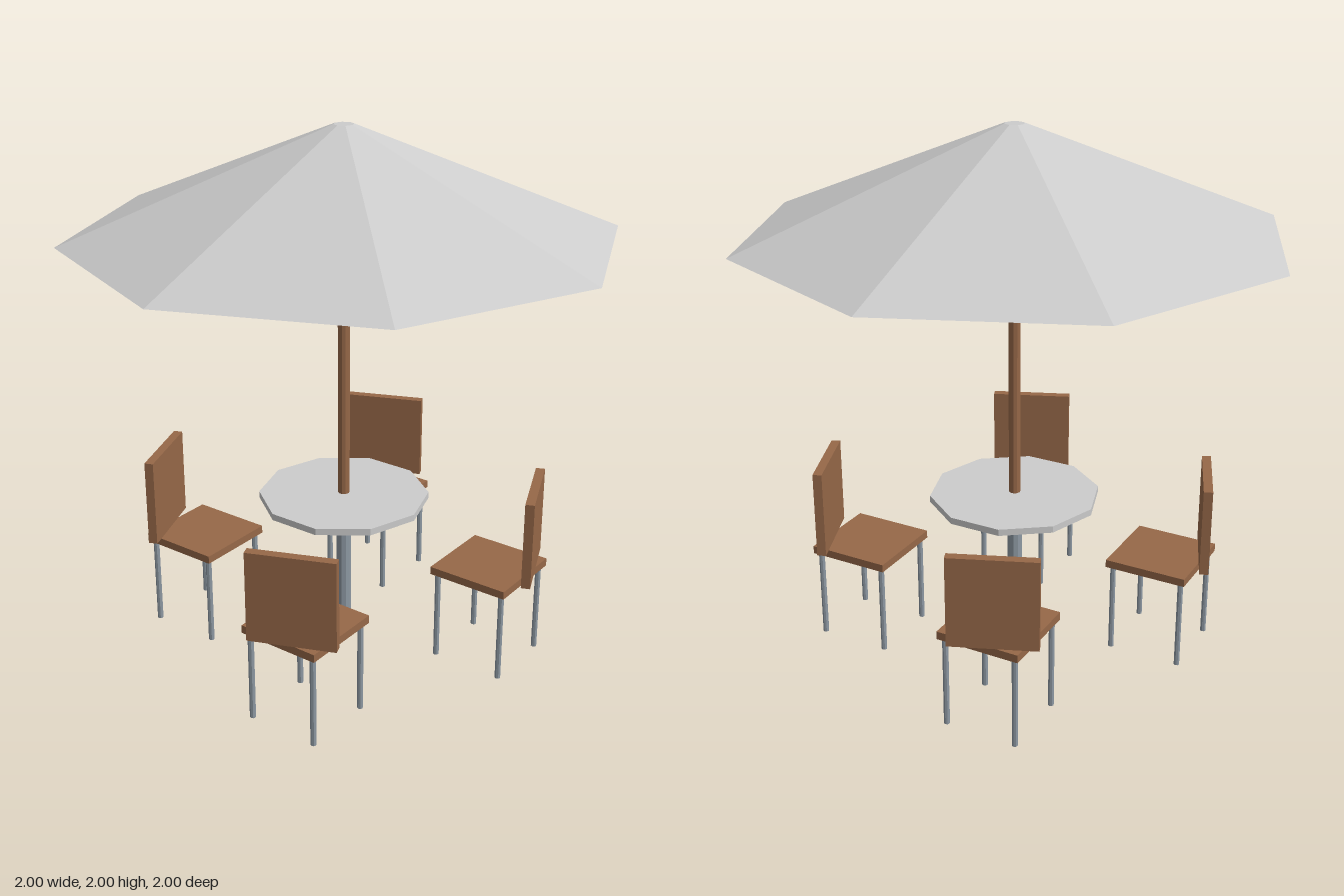
import * as THREE from 'three';

export function createModel() {
  const model = new THREE.Group();
  const material = (name, color) => {
    const m = new THREE.MeshStandardMaterial({ color, flatShading: true });
    m.name = name;
    return m;
  };
  const canvas = material('light grey', 0xcccccc);
  const wood = material('brown wood', 0x966848);
  const steel = material('steel', 0x8e99a3);

  const add = (parent, name, geometry, mat, x, y, z) => {
    const mesh = new THREE.Mesh(geometry, mat);
    mesh.name = name;
    mesh.position.set(x, y, z);
    parent.add(mesh);
    return mesh;
  };
  // upright prism between two heights
  const column = (name, rTop, rBottom, y0, y1, sides, mat) =>
    add(model, name, new THREE.CylinderGeometry(rTop, rBottom, y1 - y0, sides), mat, 0, (y0 + y1) / 2, 0);

  // parasol and table
  column('parasolCanopy', 0.037, 1, 1.605, 2, 8, canvas);
  column('parasolPole', 0.022, 0.022, 0.608, 1.61, 10, wood);
  column('tableTop', 0.32, 0.32, 0.585, 0.61, 10, canvas);
  column('tablePost', 0.028, 0.028, 0.008, 0.588, 10, steel);

  // four chairs, a quarter turn apart; square seats with backs facing the table
  const seatGeo = new THREE.BoxGeometry(0.316, 0.03, 0.316);
  const backGeo = new THREE.BoxGeometry(0.317, 0.337, 0.034);
  const legGeo = new THREE.CylinderGeometry(0.011, 0.011, 0.35, 8);
  const cx = 0.218, cz = 0.516, legOffset = 0.1365;
  for (let i = 0; i < 4; i++) {
    const chair = new THREE.Group();
    chair.name = `chair${i + 1}`;
    chair.rotation.y = i * Math.PI / 2;
    add(chair, 'seat', seatGeo, wood, cx, 0.364, cz);
    const back = add(chair, 'backrest', backGeo, wood, 0.2765, 0.5475, 0.6625);
    back.rotation.y = Math.PI / 8;
    for (const sx of [-1, 1]) {
      for (const sz of [-1, 1]) {
        add(chair, 'leg', legGeo, steel, cx + sx * legOffset, 0.175, cz + sz * legOffset);
      }
    }
    model.add(chair);
  }
  return model;
}
